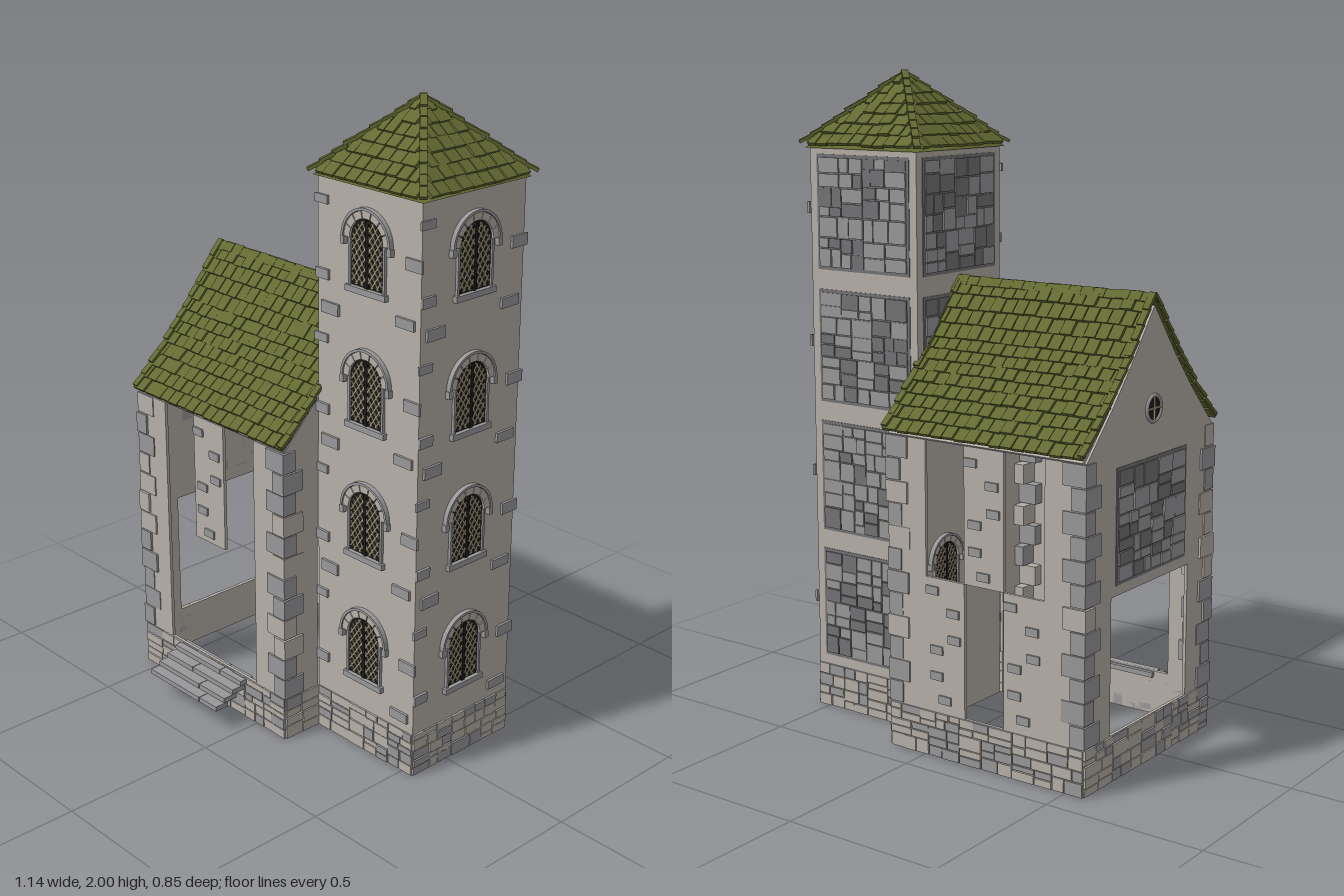
import * as THREE from 'three';
import { mergeGeometries } from 'three/addons/utils/BufferGeometryUtils.js';

const mat = (name, color, side = THREE.FrontSide) => {
  const m = new THREE.MeshStandardMaterial({ color, side });
  m.name = name;
  return m;
};

let seed = 7;
const rnd = () => (seed = (seed * 16807) % 2147483647) / 2147483647;

// Box placed by its centre
function box(w, h, d, x, y, z, rx = 0, rz = 0) {
  const g = new THREE.BoxGeometry(w, h, d);
  if (rx) g.rotateX(rx);
  if (rz) g.rotateZ(rz);
  return g.translate(x, y, z);
}
// Box given by its edges on a wall, zBack to zFront
const slab = (x0, x1, y0, y1, z0, z1) => box(x1 - x0, y1 - y0, z1 - z0, (x0 + x1) / 2, (y0 + y1) / 2, (z0 + z1) / 2);

function add(parent, name, material, geos) {
  const mesh = new THREE.Mesh(Array.isArray(geos) ? mergeGeometries(geos) : geos, material);
  mesh.name = name;
  parent.add(mesh);
  return mesh;
}

// Group lying on one side of a square building: x along, y up, z outward
function side(parent, name, cx, cz, half, yaw) {
  const g = new THREE.Group();
  g.name = name;
  g.position.set(cx + half * Math.sin(yaw), 0, cz + half * Math.cos(yaw));
  g.rotation.y = yaw;
  parent.add(g);
  return g;
}

// Split a rectangle into irregular stones
function split(x0, x1, y0, y1, maxW, maxH, out = []) {
  const w = x1 - x0, h = y1 - y0, t = 0.35 + rnd() * 0.3;
  if (w / maxW > 1 && w / maxW >= h / maxH) {
    split(x0, x0 + w * t, y0, y1, maxW, maxH, out);
    split(x0 + w * t, x1, y0, y1, maxW, maxH, out);
  } else if (h / maxH > 1) {
    split(x0, x1, y0, y0 + h * t, maxW, maxH, out);
    split(x0, x1, y0 + h * t, y1, maxW, maxH, out);
  } else out.push([x0, x1, y0, y1]);
  return out;
}
function stones(parent, name, rects, mats, gap, depth) {
  const lists = mats.map(() => []);
  for (const [a, b, c, d] of rects)
    lists[Math.floor(rnd() * mats.length)].push(slab(a + gap, b - gap, c + gap, d - gap, -0.01, depth * (0.6 + 0.6 * rnd())));
  lists.forEach((l, i) => l.length && add(parent, name, mats[i], l));
}

// Overlapping tiles down a profile of [distance out, height]; widthAt gives half width
function tiles(parent, name, material, profile, rows, tileW, widthAt) {
  const geos = [];
  const at = (t) => {
    const f = Math.min(t * (profile.length - 1), profile.length - 1 - 1e-6), i = Math.floor(f), k = f - i;
    return profile[i].map((v, j) => v + (profile[i + 1][j] - v) * k);
  };
  for (let r = 0; r < rows; r++) {
    const [z0, y0] = at(r / rows), [z1, y1] = at((r + 1) / rows);
    const phi = Math.atan2(z1 - z0, y0 - y1), len = Math.hypot(z1 - z0, y1 - y0);
    const half = widthAt(z0 * 0.6 + z1 * 0.4), n = Math.max(1, Math.round(2 * half / tileW));
    const shift = (r % 2 && n > 3) ? 0.25 : -0.25;
    for (let i = 0; i < n; i++) {
      const edge = (k) => (k === 0 ? -half : k === n ? half : -half + (2 * half * (k + shift)) / n);
      const a = edge(i), b = edge(i + 1), lift = 0.003 + rnd() * 0.004;
      geos.push(box(b - a - 0.003, len * (1.08 + rnd() * 0.12), 0.01, (a + b) / 2,
        (y0 + y1) / 2 + lift, (z0 + z1) / 2 + lift, -phi - 0.12, (rnd() - 0.5) * 0.05));
    }
  }
  return add(parent, name, material, geos);
}

// Arched lattice window, sill at y
function archWindow(parent, M, x, y, s = 1) {
  const g = new THREE.Group();
  g.name = 'archedWindow';
  g.position.set(x, y, 0);
  g.scale.set(s, s, 1);
  parent.add(g);
  const W = 0.066, spring = 0.15;
  const pane = new THREE.Shape();
  pane.moveTo(-W, 0.015).lineTo(W, 0.015).lineTo(W, spring).absarc(0, spring, W, 0, Math.PI).lineTo(-W, 0.015);
  add(g, 'glass', M.glass, new THREE.ShapeGeometry(pane, 12).translate(0, 0, 0.003));
  // Diagonal glazing bars clipped to the arch
  const inside = (px, py) => Math.abs(px) < W - 0.006 && py > 0.018 && (py < spring || Math.hypot(px, py - spring) < W - 0.006);
  const bars = [];
  for (const d of [-1, 1]) for (let c = -0.12; c < 0.36; c += 0.029) {
    let a = null, b = null;
    for (let px = -W; px <= W; px += 0.002) if (inside(px, c + d * px * 1.4)) { a ??= px; b = px; }
    if (a !== null && b - a > 0.008)
      bars.push(box((b - a) * 1.72, 0.0045, 0.003, (a + b) / 2, c + d * 1.4 * (a + b) / 2, 0.005, 0, Math.atan(d * 1.4)));
  }
  add(g, 'lattice', M.lattice, bars);
  add(g, 'mullion', M.glass, [slab(-0.006, 0.006, 0.015, 0.21, 0, 0.008)]);
  // Surround, arch stones and hood
  const ring = (r0, r1, a0, a1, depth) => {
    const sh = new THREE.Shape();
    sh.absarc(0, spring, r1, a0, a1).absarc(0, spring, r0, a1, a0, true);
    return new THREE.ExtrudeGeometry(sh, { depth, bevelEnabled: false, curveSegments: 6 });
  };
  const arch = [];
  for (let i = 0; i < 7; i++) arch.push(ring(0.066, 0.088, i * Math.PI / 7 + 0.02, (i + 1) * Math.PI / 7 - 0.02, 0.011));
  add(g, 'archStones', M.wall, arch);
  add(g, 'hoodMould', M.stone, [ring(0.089, 0.097, 0, Math.PI / 2, 0.015), ring(0.089, 0.097, Math.PI / 2, Math.PI, 0.015)]);
  add(g, 'surround', M.stone, [
    slab(-0.072, -0.064, 0.01, spring, 0, 0.009), slab(0.064, 0.072, 0.01, spring, 0, 0.009),
    slab(-0.1, -0.084, spring - 0.022, spring, 0, 0.015), slab(0.084, 0.1, spring - 0.022, spring, 0, 0.015),
    slab(-0.08, 0.08, -0.004, 0.014, 0, 0.015)]);
}

// Framed panel of rough stones
function stonePanel(parent, M, half, y0, y1) {
  add(parent, 'panelBack', M.dark, [slab(-half, half, y0, y1, 0, 0.002)]);
  stones(parent, 'panelStones', split(-half + 0.008, half - 0.008, y0 + 0.008, y1 - 0.008, 0.085, 0.07), [M.stone, M.stone, M.dark], 0.002, 0.007);
}

export function createModel() {
  const M = {
    wall: mat('plaster', 0xb5afa8),
    shell: mat('plasterShell', 0xb5afa8, THREE.DoubleSide),
    stone: mat('greyStone', 0x98989a),
    dark: mat('darkStone', 0x737376),
    roof: mat('mossTiles', 0x636a32),
    glass: mat('darkGlass', 0x1b1a19),
    lattice: mat('lattice', 0xb3a688),
  };
  const model = new THREE.Group();
  model.name = 'towerHouse';
  const yaws = { front: 0, right: Math.PI / 2, back: Math.PI, left: -Math.PI / 2 };
  const base = (g, x0, x1) => stones(g, 'baseStones', split(x0, x1, 0, 0.14, 0.085, 0.045), [M.wall, M.wall, M.stone], 0.0015, 0.006);

  // Tower
  const T = { x: 0.335, z: -0.06, h: 0.205 };
  for (const [key, yaw] of Object.entries(yaws)) {
    const g = side(model, key + 'TowerWall', T.x, T.z, T.h, yaw);
    add(g, 'wall', M.shell, new THREE.PlaneGeometry(0.41, 1.78).translate(0, 0.89, 0));
    if (key !== 'left') base(g, -0.205, 0.205);
    for (let i = 0; i < 4; i++) {
      const y = 0.14 + i * 0.41;
      if (key === 'front' || key === 'right') {
        archWindow(g, M, 0, y + 0.095);
        add(g, 'wallBricks', M.stone, [
          slab(-0.185, -0.115, y + 0.25 + 0.16, y + 0.29 + 0.16 - 0.005, 0, 0.008),
          slab(0.115, 0.185, y + 0.03, y + 0.06, 0, 0.008),
          slab(-0.207, -0.155, y + 0.1, y + 0.13, 0, 0.009),
          slab(0.15, 0.213, y + 0.2, y + 0.235, 0, 0.008),
          slab(-0.213, -0.16, y + 0.32, y + 0.345, 0, 0.007),
        ].slice(i === 3 ? 1 : 0));
      } else if (key === 'back' || i > 1) stonePanel(g, M, 0.178, y + 0.03, y + 0.38);
    }
    if (key === 'left') archWindow(g, M, -0.08, 0.39, 0.85);
    // Pyramid roof slope
    const r = side(model, key + 'TowerRoof', T.x, T.z, 0, yaw);
    tiles(r, 'roofTiles', M.roof, [[0.0, 1.982], [0.216, 1.775]], 7, 0.042, (d) => Math.max(d, 0.012));
  }
  const core = add(model, 'towerRoofCore', M.roof, new THREE.ConeGeometry(0.305, 0.21, 4, 1).rotateY(Math.PI / 4));
  core.position.set(T.x, 1.872, T.z);
  for (let i = 0; i < 4; i++) {
    const hip = side(model, 'hipRidge', T.x, T.z, 0, Math.PI / 4 + i * Math.PI / 2);
    tiles(hip, 'hipTiles', M.roof, [[0, 1.988], [0.312, 1.778]], 9, 0.03, () => 0.012);
  }

  // House walls: a square plan with wide openings
  const H = { x: -0.215, z: -0.06, h: 0.345 }, t = -0.01;
  const brickSpots = [[-0.045, 0.9], [0.03, 0.84], [-0.03, 0.72], [0.035, 0.76], [0.0, 0.57], [-0.03, 0.64]];
  const bricks = (g, cx, y0) => add(g, 'wallBricks', M.stone,
    brickSpots.map(([x, y]) => slab(cx + x - 0.022, cx + x + 0.022, y0 + y - 0.56, y0 + y - 0.535, -0.005, 0.006)));
  for (const [key, yaw] of Object.entries(yaws)) {
    const g = side(model, key + 'HouseWall', H.x, H.z, H.h, yaw);
    const walls = [slab(-0.345, -0.21, 0, 0.96, t, 0), slab(0.21, 0.345, 0, 0.96, t, 0)];
    if (key !== 'right') walls.push(slab(-0.21, 0.21, 0, 0.14, t, 0));
    if (key === 'front' || key === 'back') walls.push(slab(-0.07, 0.07, 0.55, 0.96, t, 0));
    if (key === 'back') walls.push(slab(-0.21, -0.07, 0.14, 0.55, t, 0), slab(0.07, 0.21, 0.14, 0.55, t, 0));
    if (key === 'left') walls.push(slab(-0.21, 0.21, 0.55, 0.96, t, 0));
    add(g, 'wall', M.wall, walls);
    if (key === 'right') { base(g, -0.345, -0.205); base(g, 0.205, 0.345); } else base(g, -0.345, 0.345);
    if (key === 'front' || key === 'back') bricks(g, 0, 0.56);
    if (key === 'back') for (const x of [-0.14, 0.14]) bricks(g, x, 0.16);
    if (key === 'left') stonePanel(g, M, 0.19, 0.58, 0.92);
    // Gables
    if (key === 'left' || key === 'right') {
      const s = new THREE.Shape();
      s.moveTo(-0.345, 0.955).lineTo(0.345, 0.955).lineTo(0.22, 1.085).lineTo(0.12, 1.2).lineTo(0, 1.355)
        .lineTo(-0.12, 1.2).lineTo(-0.22, 1.085);
      add(g, 'gable', M.wall, new THREE.ExtrudeGeometry(s, { depth: 0.01, bevelEnabled: false }).translate(0, 0, -0.01));
    }
    if (key === 'left') {
      add(g, 'roundWindowGlass', M.glass, new THREE.CircleGeometry(0.036, 20).translate(0, 1.06, 0.003));
      add(g, 'roundWindowRim', M.stone, new THREE.TorusGeometry(0.038, 0.006, 6, 20).translate(0, 1.06, 0.002));
      add(g, 'roundWindowBars', M.lattice, [box(0.07, 0.005, 0.004, 0, 1.06, 0.005), box(0.005, 0.07, 0.004, 0, 1.06, 0.005)]);
    }
  }

  // Corner stones of the house
  for (const sx of [-1, 1]) for (const sz of [-1, 1]) {
    const lists = [[], []];
    for (let i = 0; i < 12; i++) {
      const a = i % 2 ? 0.078 : 0.05, b = i % 2 ? 0.05 : 0.078, o = 0.002 + rnd() * 0.006;
      lists[rnd() < 0.7 ? 0 : 1].push(box(a, 0.064, b, H.x + sx * (H.h + o - a / 2), 0.175 + i * 0.0683, H.z + sz * (H.h + o - b / 2)));
    }
    lists.forEach((l, i) => l.length && add(model, 'cornerStones', i ? M.wall : M.stone, l));
  }

  // House roof: two bell-cast slopes with lining, verges and ridge
  const profile = [[0, 1.375], [0.12, 1.215], [0.225, 1.095], [0.352, 0.97]];
  for (const key of ['front', 'back']) {
    const g = side(model, key + 'HouseRoof', -0.2125, -0.063, 0, yaws[key]);
    tiles(g, 'roofTiles', M.roof, profile, 12, 0.041, () => 0.35);
    for (const x of [-0.344, 0.344])
      tiles(g, 'vergeTiles', M.roof, profile.map(([d, y]) => [d, y + 0.008]), 12, 0.03, () => 0.012).position.x = x;
    for (let i = 0; i < 3; i++) {
      const [z0, y0] = profile[i], [z1, y1] = profile[i + 1];
      add(g, 'roofLining', M.wall, box(0.68, Math.hypot(z1 - z0, y1 - y0), 0.008, 0, (y0 + y1) / 2 - 0.01, (z0 + z1) / 2 - 0.008, -Math.atan2(z1 - z0, y0 - y1)));
    }
  }
  const ridge = [];
  for (let i = 0; i < 17; i++) for (const s of [-1, 1])
    ridge.push(box(0.04, 0.03, 0.009, -0.545 + i * 0.0408, 1.374 + rnd() * 0.004, -0.063 + s * 0.009, -s * 0.7));
  add(model, 'ridgeTiles', M.roof, ridge);

  // Entrance steps
  const steps = [];
  for (let i = 0; i < 4; i++) {
    const z = 0.4 - i * 0.034, cut = -0.21 + (rnd() - 0.5) * 0.16, y = 0.078 + i * 0.017;
    steps.push(slab(-0.375, cut - 0.001, y - 0.008, y + 0.008, z - 0.035, z + 0.016), slab(cut + 0.001, -0.05, y - 0.008, y + 0.008, z - 0.035, z + 0.015));
  }
  add(model, 'entranceSteps', M.stone, steps);
  return model;
}
